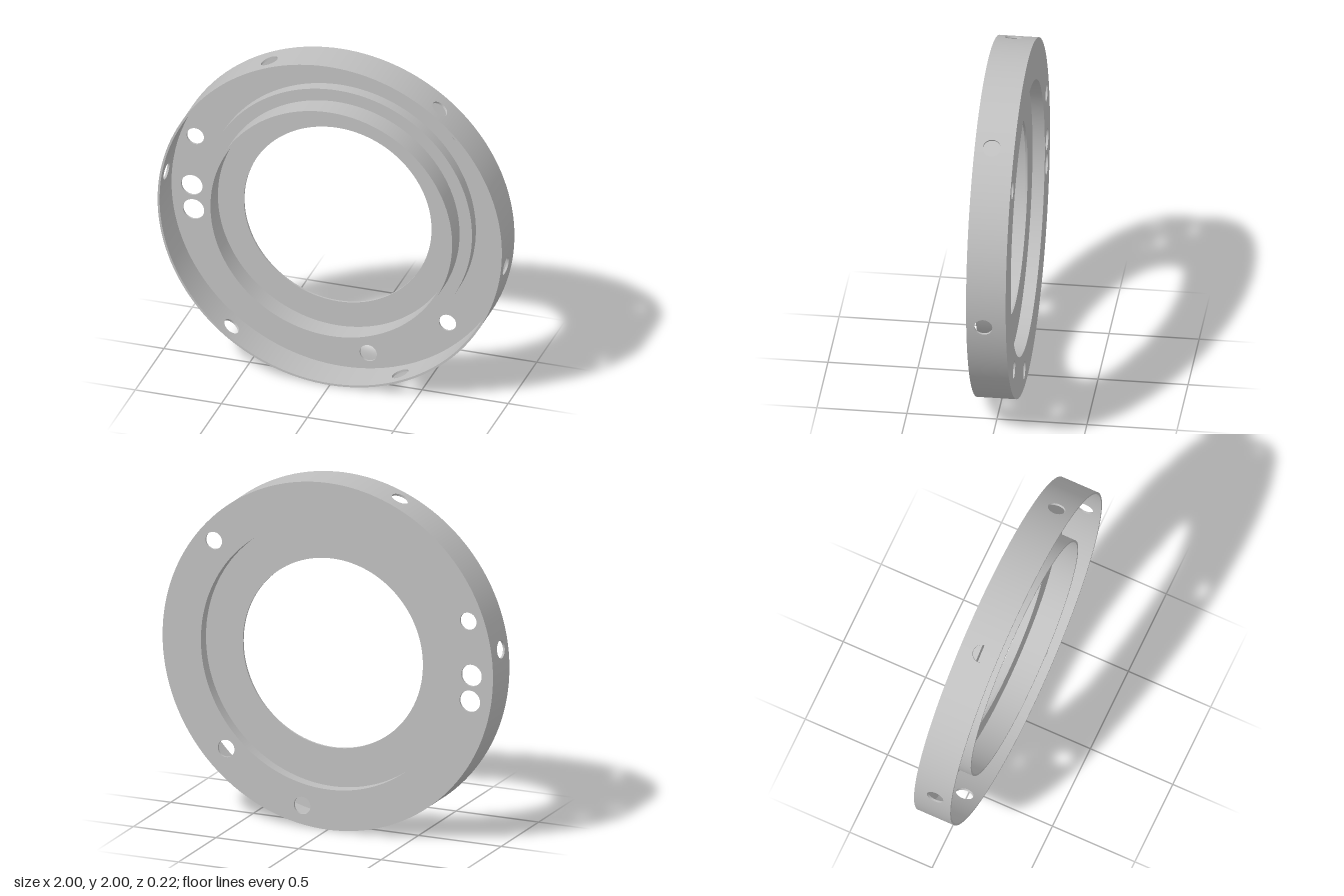
import * as THREE from 'three';

const T = 0.012;              // sheet thickness
const BACK = -0.11, FRONT = 0.11;

// Wraps a flat panel (x = angle, y = depth along z, z = radius) around the z axis
function bend(geo, theta) {
  const p = geo.attributes.position, n = geo.attributes.normal;
  for (let i = 0; i < p.count; i++) {
    const a = theta + p.getX(i), c = Math.cos(a), s = Math.sin(a), r = p.getZ(i);
    const nt = n.getX(i), nz = n.getY(i), nr = n.getZ(i);
    p.setXYZ(i, r * c, r * s, p.getY(i));
    n.setXYZ(i, nr * c - nt * s, nr * s + nt * c, nz);
  }
  return geo;
}

// Ring section with a rectangular profile
function ringSection(rIn, rOut, z0, z1, theta = 0, span = Math.PI * 2, segments = 128) {
  const geo = new THREE.BoxGeometry(span, z1 - z0, rOut - rIn, segments, 1, 1);
  geo.translate(0, (z0 + z1) / 2, (rIn + rOut) / 2);
  return bend(geo, theta);
}

// Short rim section pierced by a round hole
function piercedSection(theta, half, holeZ, holeR) {
  const shape = new THREE.Shape(), steps = 8;
  for (let i = 0; i <= steps; i++) {
    const u = -half + (2 * half * i) / steps;
    if (i === 0) shape.moveTo(u, BACK);
    else shape.lineTo(u, BACK);
  }
  for (let i = steps; i >= 0; i--) shape.lineTo(-half + (2 * half * i) / steps, FRONT);
  const hole = new THREE.Path();
  hole.absarc(0, holeZ, holeR, 0, Math.PI * 2, true);
  shape.holes.push(hole);
  const geo = new THREE.ExtrudeGeometry(shape, { depth: T, bevelEnabled: false, curveSegments: 20 });
  geo.translate(0, 0, 1 - T);
  return bend(geo, theta);
}

export function createModel() {
  const model = new THREE.Group();
  const ring = new THREE.Group();
  ring.name = 'flangedRing';
  ring.position.y = 1;
  model.add(ring);

  const metal = new THREE.MeshStandardMaterial({ color: 0xbfbfbf });
  metal.name = 'grey metal';
  const add = (name, geo) => {
    const mesh = new THREE.Mesh(geo, metal);
    mesh.name = name;
    ring.add(mesh);
  };

  // Outer rim: six radial holes with plain wall between them
  const pitch = Math.PI / 3, half = 0.08;
  for (let i = 0; i < 6; i++) {
    const theta = THREE.MathUtils.degToRad(-7.5) + i * pitch;
    add('rimHoleSection', piercedSection(theta, half, 0.015, 0.05));
    add('rimWall', ringSection(1 - T, 1, BACK, FRONT, theta + pitch / 2, pitch - 2 * half, 20));
  }

  // Back plate with its irregular bolt holes: x, y, radius
  const plate = new THREE.Shape();
  plate.absarc(0, 0, 1 - T / 2, 0, Math.PI * 2, false);
  const holes = [
    [0, 0, 0.772],
    [0.69, 0.58, 0.05], [-0.85, 0.31, 0.05], [-0.87, 0, 0.062],
    [-0.86, -0.15, 0.062], [0.615, -0.61, 0.05], [0.155, -0.88, 0.05],
  ];
  for (const [x, y, r] of holes) {
    const hole = new THREE.Path();
    hole.absarc(x, y, r, 0, Math.PI * 2, true);
    plate.holes.push(hole);
  }
  const plateGeo = new THREE.ExtrudeGeometry(plate, { depth: T, bevelEnabled: false, curveSegments: 96 });
  plateGeo.translate(0, 0, BACK);
  add('backPlate', plateGeo);

  // Raised centre: step wall, floor with the large opening, and forward lip
  const floorFront = -0.03;
  add('stepWall', ringSection(0.768, 0.78, BACK, floorFront));
  add('centreFloor', ringSection(0.545, 0.779, floorFront - T, floorFront));
  add('innerLip', ringSection(0.696, 0.708, floorFront - T / 2, 0.1));

  return model;
}
